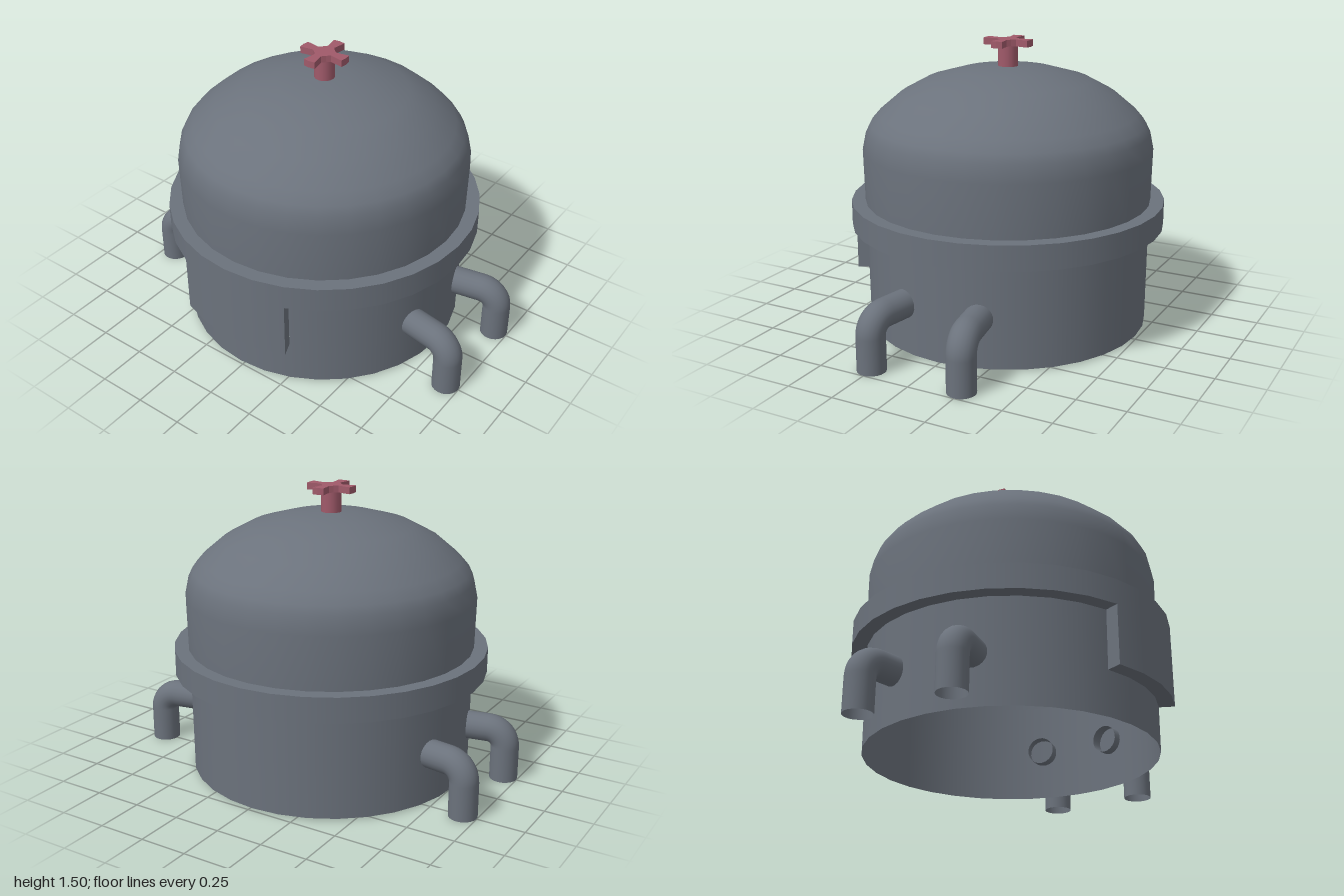
import * as THREE from 'three';

const SEGMENTS = 32;
const STEP = (Math.PI * 2) / SEGMENTS;
const PLATE_HALF = 2 * STEP; // half angle of the front plate

export function createModel() {
  const grey = new THREE.MeshStandardMaterial({ color: 0x6b727c, side: THREE.DoubleSide });
  grey.name = 'steel grey';
  const red = new THREE.MeshStandardMaterial({ color: 0xa05a6a });
  red.name = 'valve red';

  const model = new THREE.Group();
  model.name = 'tank';
  const body = new THREE.Group();
  body.name = 'tankBody';
  body.position.x = -0.02;
  model.add(body);

  function add(parent, name, geometry, material) {
    const mesh = new THREE.Mesh(geometry, material);
    mesh.name = name;
    parent.add(mesh);
    return mesh;
  }

  // Surface turned from [radius, height] pairs, starting at the front
  function turned(name, profile, segments = SEGMENTS, start = 0) {
    const points = profile.map(([r, y]) => new THREE.Vector2(r, y));
    return add(body, name, new THREE.LatheGeometry(points, segments, start, segments * STEP), grey);
  }

  // Open-bottomed shell, with a gap in the wall behind the front plate
  const R = 0.822, WALL = 0.745;
  const LOW = 0.237, RIM = 0.54, TOP = 0.67;
  turned('lowerWall', [[0.74, 0.008], [0.742, LOW]]);
  turned('upperWall', [[0.742, LOW], [WALL, RIM]], SEGMENTS - 4, PLATE_HALF);

  // Hollow flange
  turned('flangeUnderside', [[WALL, RIM], [R, RIM]], SEGMENTS - 4, PLATE_HALF);
  turned('flangeRim', [[R, RIM], [R, TOP]]);
  turned('flangeTop', [[R, TOP], [0.75, TOP]]);

  // Domed lid
  turned('dome', [
    [0.75, TOP], [0.756, 0.94], [0.737, 1.03], [0.715, 1.075], [0.67, 1.127],
    [0.56, 1.22], [0.425, 1.293], [0.25, 1.343], [0.12, 1.36], [0, 1.364],
  ]);

  // Curved plate hanging from the flange, with closed bottom and sides
  turned('frontPlate', [[R, LOW], [R, RIM]], 4, -PLATE_HALF);
  turned('frontPlateBottom', [[0.742, LOW], [R, LOW]], 4, -PLATE_HALF);
  for (const side of [-1, 1]) {
    const panel = add(body, 'frontPlateSide', new THREE.PlaneGeometry(R - 0.743, RIM - LOW), grey);
    const mid = (R + 0.743) / 2;
    const angle = side * PLATE_HALF;
    panel.position.set(mid * Math.sin(angle), (LOW + RIM) / 2, mid * Math.cos(angle));
    panel.rotation.y = angle + (side * -Math.PI) / 2 + (side > 0 ? 0 : Math.PI);
  }

  // Four open elbow pipes that run slightly through the wall
  for (const sx of [-1, 1]) {
    for (const sz of [-1, 1]) {
      const inner = sx > 0 ? 0.635 : 0.675;
      const at = (x, y) => new THREE.Vector3(sx * x, y, sz * (0.25 - (0.926 - x) * 0.176));
      const path = new THREE.CurvePath();
      path.add(new THREE.LineCurve3(at(0.926, 0), at(0.926, 0.18)));
      path.add(new THREE.CubicBezierCurve3(at(0.926, 0.18), at(0.926, 0.23), at(0.886, 0.268), at(0.836, 0.268)));
      path.add(new THREE.LineCurve3(at(0.836, 0.268), at(inner, 0.268)));
      add(model, 'elbowPipe', new THREE.TubeGeometry(path, 32, 0.073, 20, false), grey);
    }
  }

  // Valve stem and four-armed handle
  const valve = new THREE.Group();
  valve.name = 'valve';
  body.add(valve);
  add(valve, 'valveStem', new THREE.CylinderGeometry(0.052, 0.052, 0.125, 16), red).position.y = 1.4075;

  const outline = [];
  for (let i = 0; i < 4; i++) {
    const arm = [[0.125, -0.032], [0.129, 0], [0.125, 0.032], [0.055, 0.02], [0.036, 0.036], [0.02, 0.055]];
    for (const [x, y] of arm) {
      outline.push(new THREE.Vector2(x, y).rotateAround(new THREE.Vector2(), (i * Math.PI) / 2));
    }
  }
  const handle = new THREE.ExtrudeGeometry(new THREE.Shape(outline), { depth: 0.035, bevelEnabled: false });
  handle.rotateX(-Math.PI / 2);
  add(valve, 'valveHandle', handle, red).position.y = 1.467;

  return model;
}
